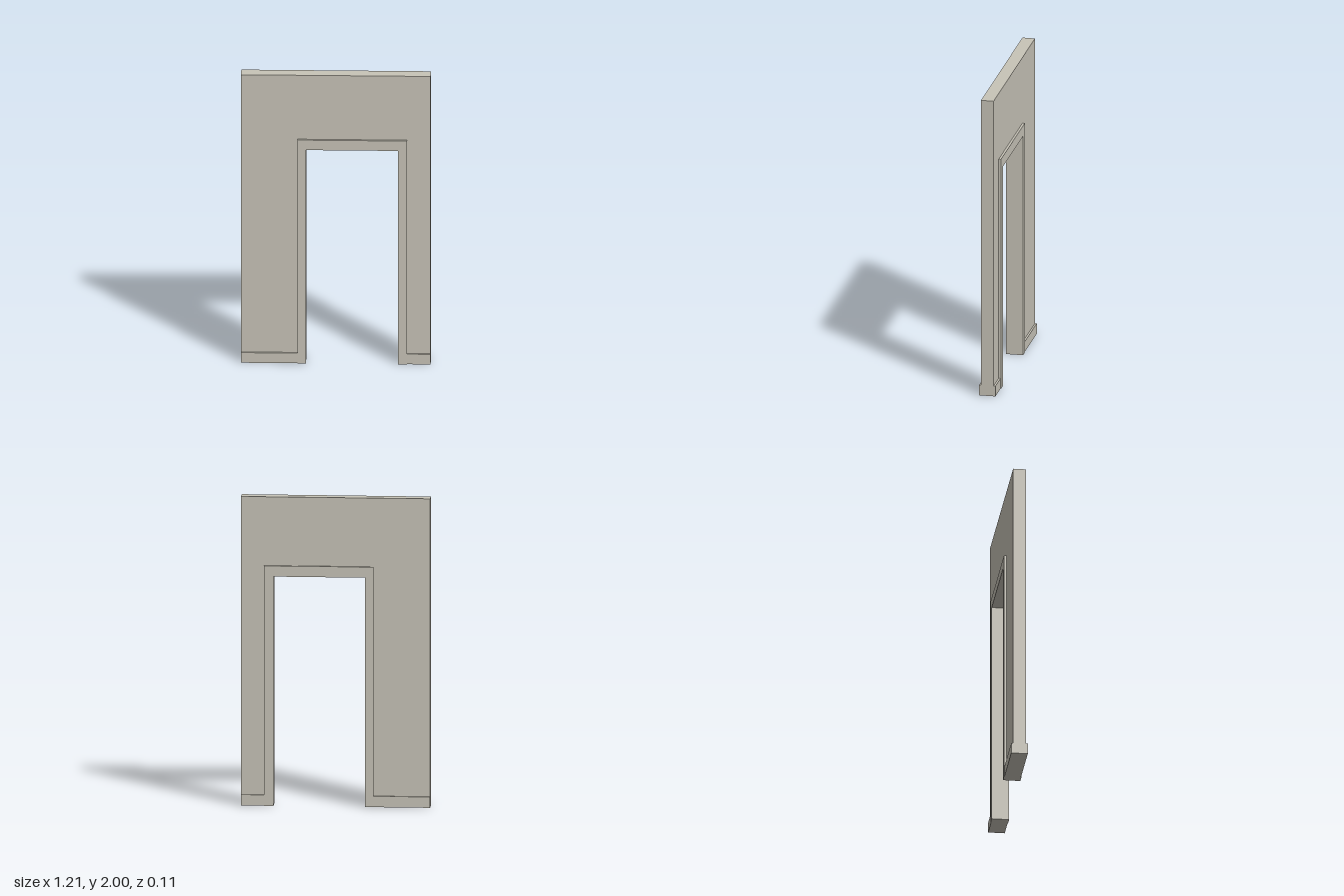
import * as THREE from 'three';

// Shared dimensions: wall outline, doorway opening and casing outline
const HALF_WIDTH = 0.605, HEIGHT = 2, BASE_HEIGHT = 0.07;
const opening = { left: -0.19, right: 0.397, top: 1.486 };
const casing = { left: -0.244, right: 0.455, top: 1.555 };

const plaster = new THREE.MeshStandardMaterial({ color: 0xc8c4b8 });
plaster.name = 'warm grey plaster';

// Upside-down U outline, extruded evenly about z = 0
function archway(name, outer, inner, bottom, depth) {
  const shape = new THREE.Shape([
    [outer.left, bottom], [inner.left, bottom], [inner.left, inner.top], [inner.right, inner.top],
    [inner.right, bottom], [outer.right, bottom], [outer.right, outer.top], [outer.left, outer.top],
  ].map(([x, y]) => new THREE.Vector2(x, y)));
  const geometry = new THREE.ExtrudeGeometry(shape, { depth, bevelEnabled: false });
  geometry.translate(0, 0, -depth / 2);
  const mesh = new THREE.Mesh(geometry, plaster);
  mesh.name = name;
  return mesh;
}

// Skirting block running between two x positions, through the full wall
function skirting(name, x0, x1) {
  const mesh = new THREE.Mesh(new THREE.BoxGeometry(x1 - x0, BASE_HEIGHT, 0.106), plaster);
  mesh.position.set((x0 + x1) / 2, BASE_HEIGHT / 2, 0);
  mesh.name = name;
  return mesh;
}

export function createModel() {
  const model = new THREE.Group();
  model.name = 'doorwayWall';
  const wall = { left: -HALF_WIDTH, right: HALF_WIDTH, top: HEIGHT };
  model.add(
    archway('wall', wall, casing, BASE_HEIGHT, 0.082),
    archway('doorCasing', casing, opening, 0, 0.112),
    skirting('rightSkirting', -HALF_WIDTH, casing.left),
    skirting('leftSkirting', casing.right, HALF_WIDTH),
  );
  return model;
}
